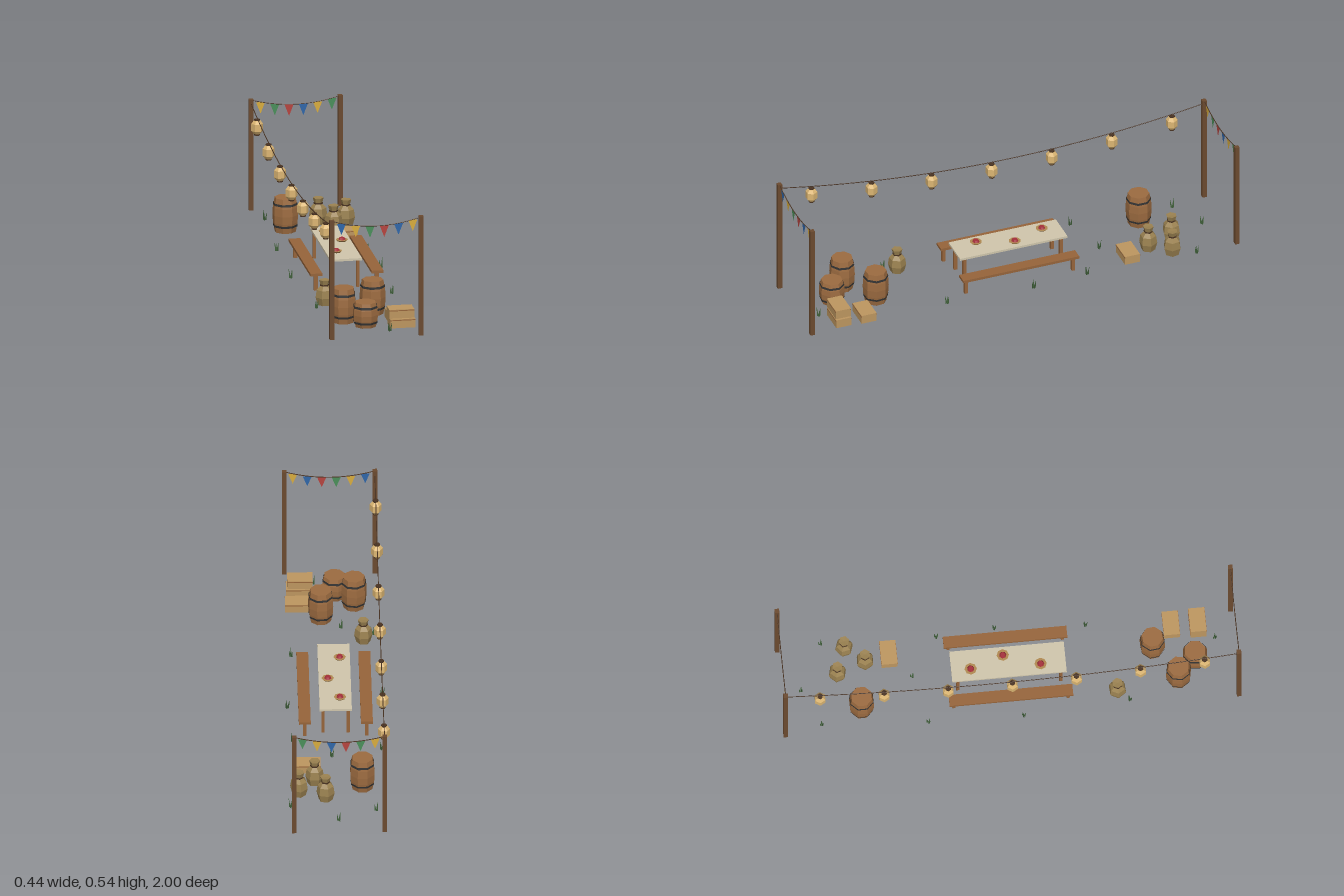
import * as THREE from 'three';

const materials = {};
function mat(color) {
  return (materials[color] ??= new THREE.MeshStandardMaterial({ color, flatShading: true, side: THREE.DoubleSide }));
}
const POST = 0x6b4a2f, WOOD = 0x96643a, BARREL = 0x9c6b40, IRON = 0x333333, SACK = 0x9a8150;
const CRATE = 0xbd965f, CLOTH = 0xd0c6ac, GLOW = 0xdcb673, GRASS = 0x40603a, ROPE = 0x4a3322;
const BLUE = 0x2f66a8, YELLOW = 0xd8ac3e, GREEN = 0x4a8f5a, RED = 0xb5443f;

function add(parent, name, geometry, color, x = 0, y = 0, z = 0) {
  const mesh = new THREE.Mesh(geometry, mat(color));
  mesh.name = name;
  mesh.position.set(x, y, z);
  parent.add(mesh);
  return mesh;
}

function group(parent, name, x = 0, y = 0, z = 0, turn = 0) {
  const g = new THREE.Group();
  g.name = name;
  g.position.set(x, y, z);
  g.rotation.y = turn;
  parent.add(g);
  return g;
}

const box = (w, h, d) => new THREE.BoxGeometry(w, h, d);
const lathe = (points, sides) => new THREE.LatheGeometry(points.map(([r, y]) => new THREE.Vector2(r, y)), sides);

// Rope sagging between two points; returns its curve
function rope(parent, name, a, b, sag) {
  const points = [];
  for (let i = 0; i <= 16; i++) {
    const t = i / 16, p = a.clone().lerp(b, t);
    p.y -= sag * 4 * t * (1 - t);
    points.push(p);
  }
  const curve = new THREE.CatmullRomCurve3(points);
  add(parent, name, new THREE.TubeGeometry(curve, 32, 0.002, 5), ROPE);
}

// Rope of triangular flags between two posts
function bunting(parent, z, height, sag, colors) {
  const g = group(parent, 'bunting', 0, 0, z);
  const half = 0.19;
  rope(g, 'buntingRope', new THREE.Vector3(-half, height, 0), new THREE.Vector3(half, height, 0), sag);
  const shape = new THREE.Shape([[-0.02, 0], [0, -0.052], [0.02, 0]].map(([x, y]) => new THREE.Vector2(x, y)));
  const flag = new THREE.ShapeGeometry(shape);
  colors.forEach((color, i) => {
    const x = (i - 2.5) * 0.063 + 0.003;
    add(g, 'flag', flag, color, x, height - sag * (1 - (x / half) ** 2) - 0.001, 0);
  });
}

// Hexagonal paper lantern hanging from the origin
function lantern(parent, x, y, z) {
  const g = group(parent, 'lantern', x, y, z, Math.PI / 6);
  add(g, 'lanternHook', new THREE.CylinderGeometry(0.0015, 0.0015, 0.01, 4), ROPE, 0, -0.003, 0);
  add(g, 'lanternBody', lathe([[0, -0.073], [0.015, -0.072], [0.026, -0.058], [0.026, -0.026], [0.015, -0.012], [0, -0.011]], 6), GLOW);
  for (const cy of [-0.009, -0.075])
    add(g, 'lanternCap', new THREE.CylinderGeometry(0.013, 0.013, 0.007, 6), ROPE, 0, cy, 0);
}

// Eight-sided barrel with two iron hoops
function barrel(parent, x, z, h, turn) {
  const g = group(parent, 'barrel', x, 0, z, turn);
  add(g, 'staves', lathe([[0, 0], [0.047, 0], [0.055, h * 0.28], [0.057, h * 0.5], [0.055, h * 0.72], [0.047, h], [0, h]], 8), BARREL);
  for (const t of [0.19, 0.82])
    add(g, 'hoop', new THREE.CylinderGeometry(t > 0.5 ? 0.0535 : 0.055, t > 0.5 ? 0.055 : 0.0535, 0.01, 8, 1, true), IRON, 0, h * t, 0);
}

// Six-sided tied sack
function sack(parent, x, z, h, turn) {
  const g = group(parent, 'sack', x, 0, z, turn);
  g.scale.y = h / 0.115;
  add(g, 'sackBody', lathe([[0, 0], [0.031, 0], [0.04, 0.035], [0.035, 0.07], [0.017, 0.09], [0.024, 0.115], [0, 0.113]], 6), SACK);
  add(g, 'sackTie', new THREE.CylinderGeometry(0.02, 0.02, 0.006, 6), ROPE, 0, 0.091, 0);
}

// Crate with a lid and an open underside
function crate(parent, x, y, z) {
  const g = group(parent, 'crate', x, y, z);
  const w = 0.11, d = 0.07, t = 0.008;
  for (const s of [-1, 1]) {
    add(g, 'crateSide', box(w, 0.034, t), CRATE, 0, 0.017, s * (d - t) / 2);
    add(g, 'crateEnd', box(t, 0.034, d - 2 * t), CRATE, s * (w - t) / 2, 0.017, 0);
    add(g, 'lidEdge', box(w + 0.001, 0.004, 0.002), WOOD, 0, 0.035, s * d / 2);
  }
  add(g, 'crateLid', box(w, 0.006, d), CRATE, 0, 0.037, 0);
}

// Tuft of three leaning blades
function tuft(parent, x, z, i) {
  const g = group(parent, 'grassTuft', x, 0, z, i * 1.9);
  for (let k = 0; k < 3; k++) {
    const a = k * Math.PI * 2 / 3, h = 0.034 + 0.005 * k;
    const blade = add(g, 'blade', new THREE.ConeGeometry(0.005, h, 3), GRASS, Math.cos(a) * 0.007, h / 2, Math.sin(a) * 0.007);
    blade.rotation.set(Math.sin(a) * 0.15, 0, -Math.cos(a) * 0.15);
  }
}

function table(parent) {
  const g = group(parent, 'table');
  add(g, 'tableTop', box(0.14, 0.01, 0.5), CLOTH, 0, 0.13, 0);
  for (const x of [-0.055, 0.055]) for (const z of [-0.225, 0.225])
    add(g, 'tableLeg', box(0.014, 0.125, 0.014), WOOD, x, 0.0625, z);
  // Plates of food
  for (const [x, z] of [[-0.02, -0.165], [0.03, -0.02], [-0.025, 0.14]]) {
    const p = group(g, 'plate', x, 0.135, z);
    add(p, 'dish', new THREE.CylinderGeometry(0.027, 0.02, 0.007, 8), 0xb08850, 0, 0.0035, 0);
    add(p, 'food', new THREE.CylinderGeometry(0.011, 0.016, 0.009, 7), 0xa52f3a, 0, 0.0115, 0);
  }
}

function bench(parent, x) {
  const g = group(parent, 'bench', x);
  add(g, 'benchSeat', box(0.052, 0.012, 0.54), WOOD, 0, 0.075, 0);
  for (const z of [-0.25, 0.25])
    add(g, 'benchLeg', box(0.016, 0.07, 0.014), WOOD, 0, 0.035, z);
}

export function createModel() {
  const model = new THREE.Group();
  model.name = 'festivalPicnic';

  // Posts, taller at the front
  for (const x of [-0.197, 0.197]) {
    add(model, 'frontPost', box(0.02, 0.54, 0.02), POST, x, 0.27, 0.99);
    add(model, 'backPost', box(0.02, 0.502, 0.02), POST, x, 0.251, -0.99);
  }
  bunting(model, 0.99, 0.534, 0.029, [BLUE, YELLOW, GREEN, RED, BLUE, YELLOW]);
  bunting(model, -0.99, 0.497, 0.027, [YELLOW, GREEN, RED, BLUE, YELLOW, GREEN]);

  // Lantern string along one side
  const sag = 0.086, y0 = 0.517, y1 = 0.484;
  rope(model, 'lanternRope', new THREE.Vector3(-0.197, y0, 0.99), new THREE.Vector3(-0.197, y1, -0.99), sag);
  for (let i = -3; i <= 3; i++) {
    const z = i * 0.28, t = (0.99 - z) / 1.98;
    lantern(model, -0.197, y0 + (y1 - y0) * t - sag * 4 * t * (1 - t), z);
  }

  table(model);
  bench(model, -0.135);
  bench(model, 0.135);

  // Supplies at both ends
  barrel(model, -0.1, 0.735, 0.155, 0.2);
  barrel(model, 0.047, 0.635, 0.155, 0.5);
  barrel(model, -0.017, 0.815, 0.11, 0.3);
  barrel(model, -0.107, -0.65, 0.155, 0.4);
  sack(model, -0.135, 0.465, 0.112, 0.6);
  sack(model, 0.055, -0.74, 0.117, 0.3);
  sack(model, 0.17, -0.7, 0.115, 0.2);
  sack(model, 0.1, -0.615, 0.117, 0.5);
  crate(model, 0.145, 0, 0.725);
  crate(model, 0.138, 0, 0.84);
  crate(model, 0.133, 0.044, 0.84);
  crate(model, 0.127, 0, -0.51);

  // Scattered grass
  [[-0.165, -0.83], [0, -0.905], [0.207, -0.8], [0.02, -0.417], [-0.197, -0.365], [0.19, -0.295],
    [0.207, -0.04], [-0.208, 0.05], [0.183, 0.355], [-0.178, 0.515], [-0.04, 0.57], [0.073, 0.91]]
    .forEach(([x, z], i) => tuft(model, x, z, i));

  return model;
}
